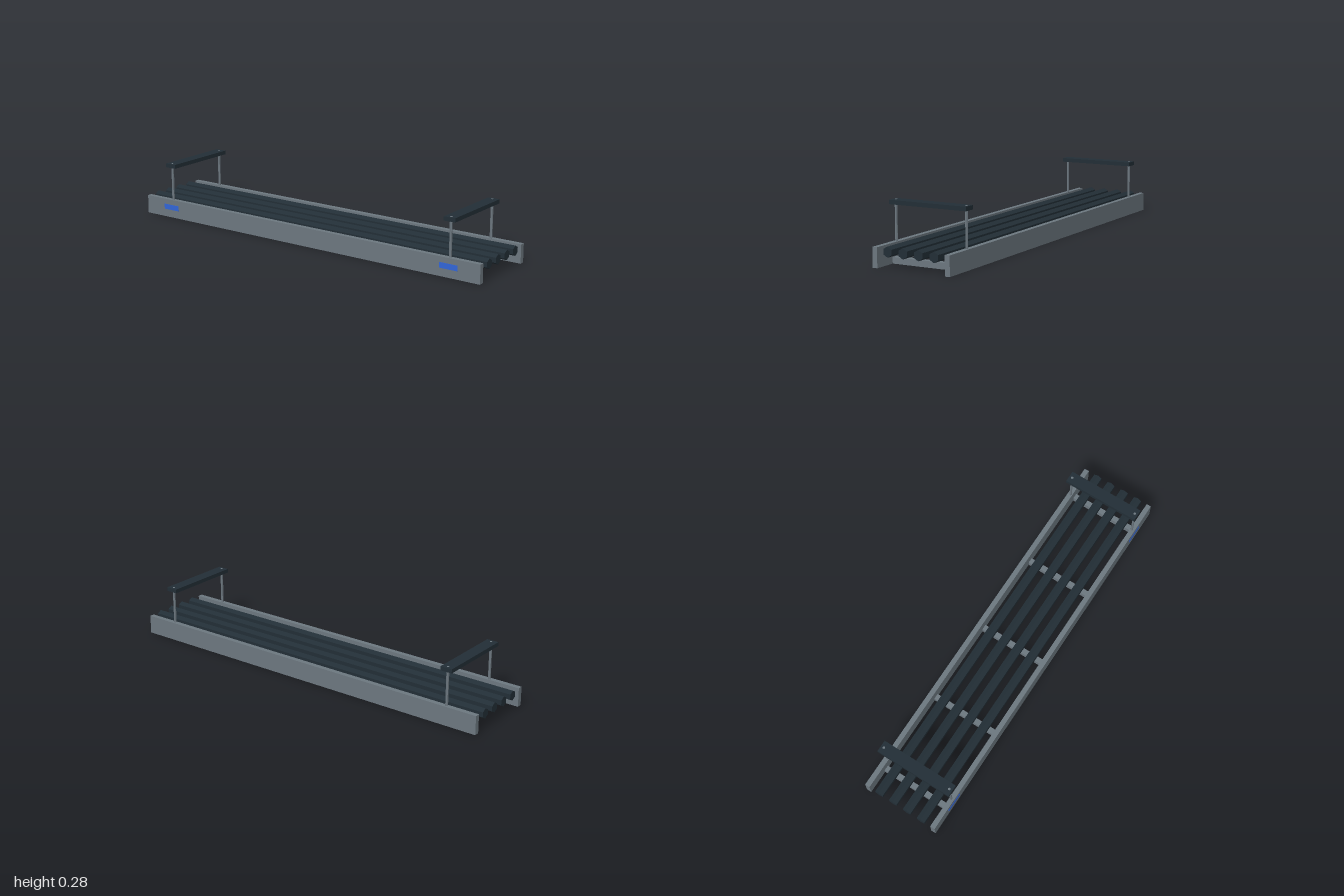
import * as THREE from 'three';

export function createModel() {
  const model = new THREE.Group();
  model.name = 'suspendedCableTray';

  const material = (name, color, flatShading = false) => {
    const m = new THREE.MeshStandardMaterial({ color, flatShading });
    m.name = name;
    return m;
  };
  const steel = material('steelGrey', 0x6c777f, true);
  const dark = material('darkSlate', 0x222e36, true);
  const blue = material('labelBlue', 0x3265d6);

  const add = (name, geometry, mat, x, y, z, parent = model) => {
    const mesh = new THREE.Mesh(geometry, mat);
    mesh.name = name;
    mesh.position.set(x, y, z);
    parent.add(mesh);
    return mesh;
  };

  // Side rails
  const railGeo = new THREE.BoxGeometry(2, 0.094, 0.025);
  add('frontRail', railGeo, steel, 0, 0.047, 0.1875);
  add('backRail', railGeo, steel, 0, 0.047, -0.1875);

  // Cross rungs along the floor of the tray
  const rungGeo = new THREE.BoxGeometry(0.028, 0.03, 0.35);
  for (let i = -2; i <= 2; i++) add('rung', rungGeo, steel, i * 0.4335, 0.015, 0);

  // Hexagonal cables with a corner pointing up
  const cableGeo = new THREE.CylinderGeometry(0.025, 0.025, 2, 6);
  cableGeo.rotateY(Math.PI / 2).rotateZ(Math.PI / 2);
  for (const z of [-0.12, -0.04, 0.04, 0.12]) add('cable', cableGeo, dark, 0, 0.0775, z);

  // Hangers: two rods rising through a flat crossbar
  const rodBottom = 0.09, rodTop = 0.2848;
  const rodGeo = new THREE.CylinderGeometry(0.0067, 0.0067, rodTop - rodBottom, 6);
  const barGeo = new THREE.BoxGeometry(0.06, 0.02, 0.4);
  const labelGeo = new THREE.BoxGeometry(0.096, 0.027, 0.003);
  for (const side of [1, -1]) {
    const hanger = new THREE.Group();
    hanger.name = side > 0 ? 'leftHanger' : 'rightHanger';
    hanger.position.x = side * 0.835;
    model.add(hanger);
    add('crossbar', barGeo, dark, 0, 0.274, 0, hanger);
    for (const z of [-0.184, 0.184]) {
      add('rod', rodGeo, steel, 0, (rodBottom + rodTop) / 2, z, hanger);
    }

    // Plain marker plate on the front rail
    add('marker', labelGeo, blue, side * 0.835, 0.0535, 0.2);
  }

  return model;
}
